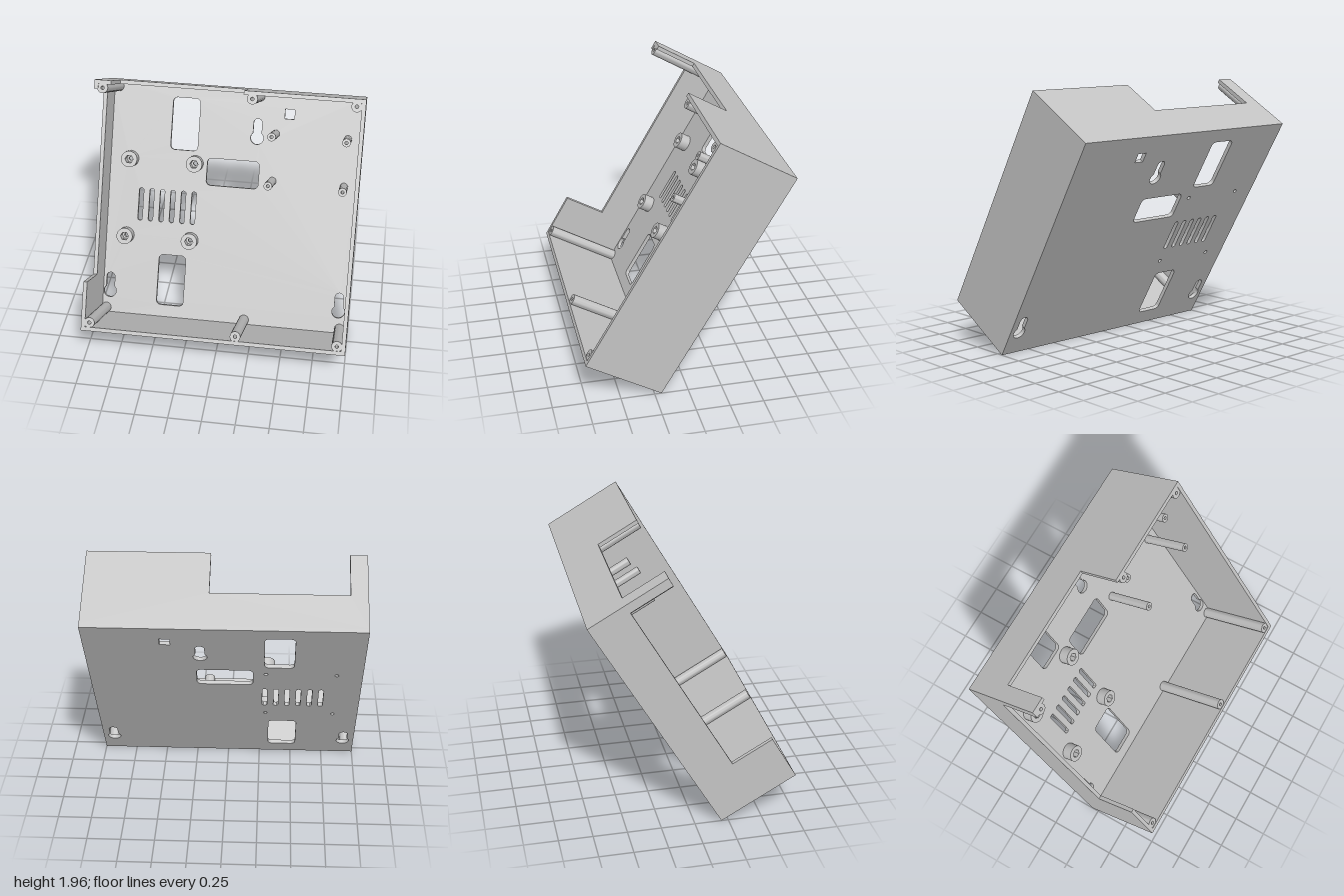
import * as THREE from 'three';
import { toCreasedNormals } from 'three/addons/utils/BufferGeometryUtils.js';

const L = 1.895, D = 0.636, T = 0.03; // length up the back plate, depth, wall thickness
const NOTCH = 0.3;                    // height of the wall floor inside each notch

const grey = new THREE.MeshStandardMaterial({ color: 0xc2c2c2 });
grey.name = 'light grey plastic';

function extrude(shape, depth) {
  const g = new THREE.ExtrudeGeometry(shape, { depth, bevelEnabled: false, curveSegments: 12 });
  return toCreasedNormals(g, 0.6);
}

function polygon(points) {
  return new THREE.Shape(points.map(([x, y]) => new THREE.Vector2(x, y)));
}

// Rounded rectangle between two corners
function roundRect(x0, y0, x1, y1, r) {
  const p = new THREE.Path();
  p.absarc(x1 - r, y0 + r, r, -Math.PI / 2, 0);
  p.absarc(x1 - r, y1 - r, r, 0, Math.PI / 2);
  p.absarc(x0 + r, y1 - r, r, Math.PI / 2, Math.PI);
  p.absarc(x0 + r, y0 + r, r, Math.PI, Math.PI * 1.5);
  p.closePath();
  return p;
}

function circle(x, y, r) {
  return new THREE.Path().absarc(x, y, r, 0, Math.PI * 2);
}

// Round head with a narrower slot rising from it
function keyhole(x, y) {
  const r = 0.05, s = 0.033, a = Math.acos(s / r);
  const p = new THREE.Path();
  p.absarc(x, y + 0.117, s, 0, Math.PI);
  p.absarc(x, y, r, Math.PI - a, Math.PI * 2 + a);
  p.closePath();
  return p;
}

// Upright tube with a given bore
function tube(r, bore, height) {
  const s = new THREE.Shape().absarc(0, 0, r, 0, Math.PI * 2);
  s.holes.push(bore);
  return extrude(s, height);
}

export function createModel() {
  const model = new THREE.Group();
  model.name = 'enclosure';
  const body = new THREE.Group();
  body.name = 'tiltedCase';
  body.rotation.x = -Math.PI / 6;
  body.position.z = 0.199;
  model.add(body);

  const add = (name, geometry, x = 0, y = 0, z = 0) => {
    const m = new THREE.Mesh(geometry, grey);
    m.name = name;
    m.position.set(x, y, z);
    body.add(m);
    return m;
  };

  // Back plate with all its openings
  const standoffs = [-0.81, -0.295].flatMap(x => [0.664, 1.276].map(y => [x, y]));
  const plate = polygon([[-1, 0], [1, 0], [1, L], [-1, L]]);
  plate.holes.push(
    roundRect(-0.5, 1.374, -0.285, 1.784, 0.035),
    roundRect(-0.2, 1.114, 0.21, 1.328, 0.035),
    roundRect(-0.535, 0.125, -0.32, 0.531, 0.035),
    new THREE.Path(polygon([[0.38, 1.68], [0.455, 1.68], [0.455, 1.755], [0.38, 1.755]]).getPoints()),
    keyhole(0.175, 1.514), keyhole(-0.915, 0.2), keyhole(0.915, 0.2)
  );
  for (let i = 0; i < 6; i++) {
    const x = -0.709 + i * 0.0842;
    plate.holes.push(roundRect(x - 0.018, 0.79, x + 0.018, 1.05, 0.0175)); // vent slots
  }
  for (const [x, y] of standoffs) plate.holes.push(circle(x, y, 0.015));
  add('backPlate', extrude(plate, T));

  // Plain walls
  const wallH = D - T;
  add('bottomWall', new THREE.BoxGeometry(2, T, wallH), 0, T / 2, T + wallH / 2);
  add('leftWall', new THREE.BoxGeometry(T, L - 2 * T, wallH), 1 - T / 2, L / 2, T + wallH / 2);

  // Top wall with a wide notch
  const top = polygon([[-1, T], [1, T], [1, D], [0.11, D], [0.11, NOTCH],
    [-0.875, NOTCH], [-0.875, D], [-1, D]]);
  add('topWall', extrude(top, T), 0, L, 0).rotation.x = Math.PI / 2;

  // Right wall with a long notch; its profile runs along the length and depth
  const side = polygon([[T, T], [L - T, T], [L - T, D], [1.828, D], [1.828, NOTCH],
    [0.375, NOTCH], [0.375, D], [T, D]]);
  const sideGeo = extrude(side, T).applyMatrix4(new THREE.Matrix4().makeBasis(
    new THREE.Vector3(0, 1, 0), new THREE.Vector3(0, 0, 1), new THREE.Vector3(1, 0, 0)));
  add('rightWall', sideGeo, -1, 0, 0);

  // Tall screw posts along the top and bottom walls
  const postGeo = tube(0.04, circle(0, 0, 0.013), D - T - 0.004);
  for (const x of [-0.938, 0.175, 0.935])
    for (const y of [0.064, 1.838]) add('screwPost', postGeo, x, y, T);

  // Slim board supports
  const pinGeo = tube(0.032, circle(0, 0, 0.012), 0.382);
  for (const x of [0.318, 0.878])
    for (const y of [1.187, 1.557]) add('boardSupport', pinGeo, x, y, T);

  // Short standoffs with hexagonal sockets
  const hex = new THREE.Path();
  for (let i = 0; i < 6; i++) {
    const a = i * Math.PI / 3;
    hex[i ? 'lineTo' : 'moveTo'](0.033 * Math.cos(a), 0.033 * Math.sin(a));
  }
  hex.closePath();
  const standoffGeo = tube(0.064, hex, 0.08);
  for (const [x, y] of standoffs) add('standoff', standoffGeo, x, y, T);

  return model;
}
